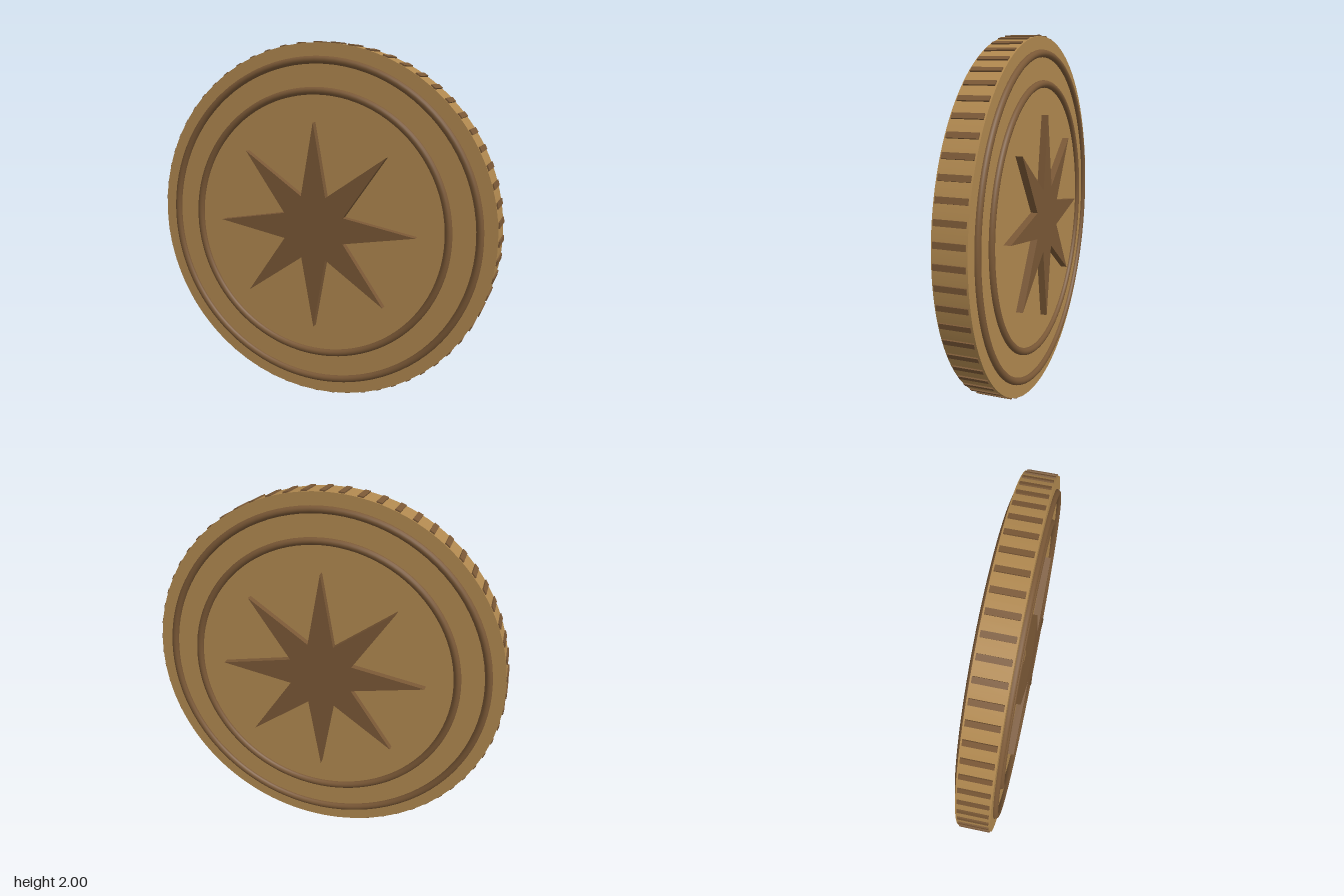
import * as THREE from 'three';

export function createModel() {
  const bronze = new THREE.MeshStandardMaterial({ color: 0xb0884f });
  bronze.name = 'bronze';
  const dark = new THREE.MeshStandardMaterial({ color: 0x7a5836 });
  dark.name = 'darkBronze';

  const model = new THREE.Group();
  model.name = 'coin';
  const HALF = 0.087, RADIUS = 0.993;

  const add = (parent, name, geometry, material) => {
    const mesh = new THREE.Mesh(geometry, material);
    mesh.name = name;
    parent.add(mesh);
    return mesh;
  };

  // Coin body
  const body = new THREE.CylinderGeometry(RADIUS, RADIUS, HALF * 2, 128);
  body.rotateX(Math.PI / 2);
  add(model, 'body', body, bronze);

  // Milled ridges around the edge
  const ridges = new THREE.Group();
  ridges.name = 'edgeRidges';
  model.add(ridges);
  const ridgeGeometry = new THREE.BoxGeometry(0.03, 0.03, 0.157);
  ridgeGeometry.translate(0, 0.985, 0);
  const COUNT = 64;
  for (let i = 0; i < COUNT; i++) {
    add(ridges, 'ridge', ridgeGeometry, dark).rotation.z = (i / COUNT) * Math.PI * 2;
  }

  // Eight-pointed star outline
  const points = [];
  for (let i = 0; i < 16; i++) {
    const r = i % 2 ? 0.19 : 0.58;
    const a = (i * Math.PI) / 8;
    points.push(new THREE.Vector2(Math.cos(a) * r, Math.sin(a) * r));
  }
  const star = new THREE.ExtrudeGeometry(new THREE.Shape(points), {
    depth: 0.045, bevelEnabled: false,
  });
  star.translate(0, 0, 0.08);

  // Raised rings and star on both faces
  for (const [name, turn] of [['frontFace', 0], ['backFace', Math.PI]]) {
    const face = new THREE.Group();
    face.name = name;
    face.rotation.y = turn;
    model.add(face);
    for (const [ring, r] of [['outerRing', 0.905], ['innerRing', 0.745]]) {
      const torus = new THREE.TorusGeometry(r, 0.02, 12, 96);
      torus.translate(0, 0, 0.09);
      add(face, ring, torus, dark);
    }
    add(face, 'star', star, dark);
  }

  model.position.y = 1;
  const root = new THREE.Group();
  root.name = 'medallion';
  root.add(model);
  return root;
}
